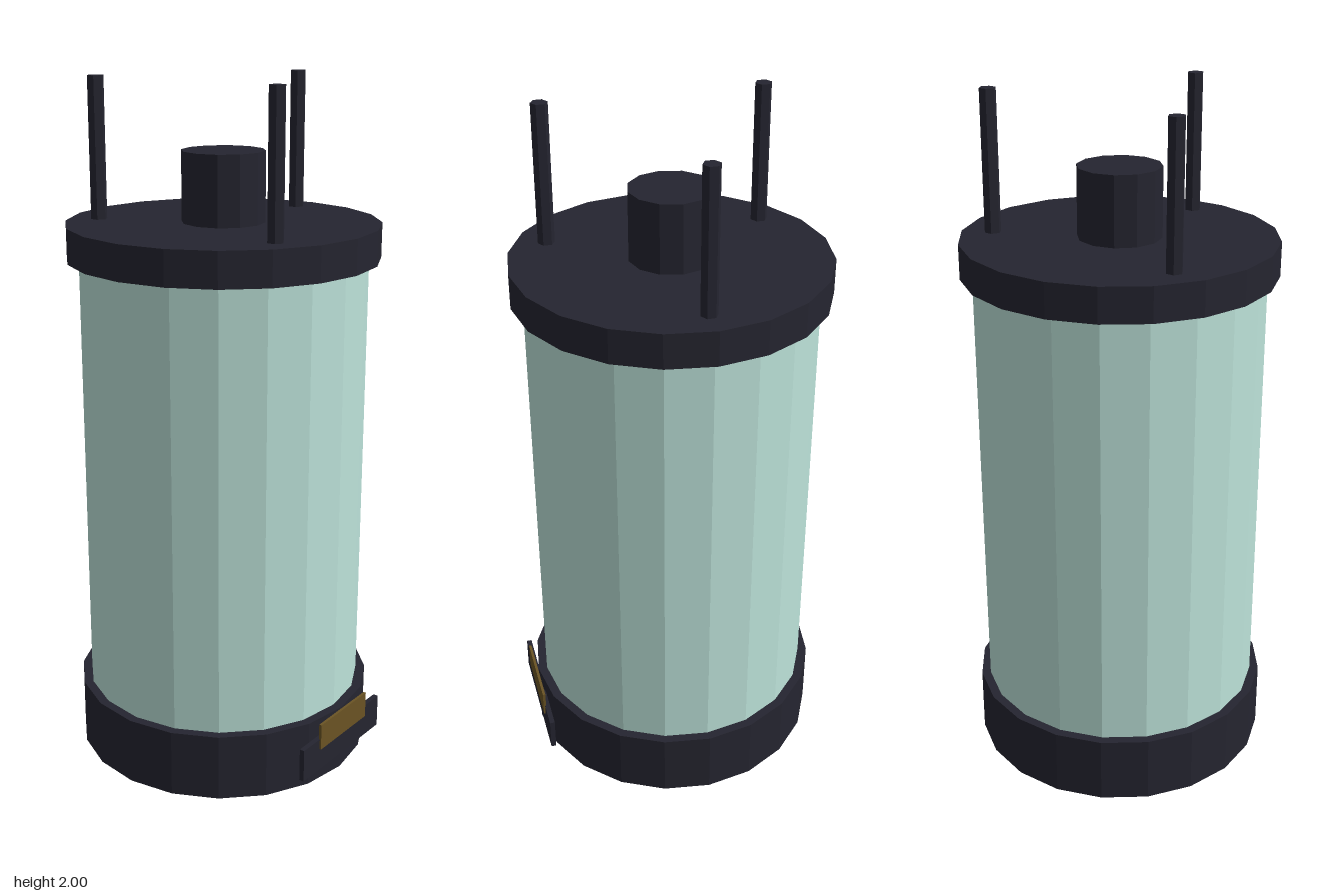
import * as THREE from 'three';

export function createModel() {
  const model = new THREE.Group();
  const makeMaterial = (name, color) => {
    const m = new THREE.MeshStandardMaterial({ color, flatShading: true });
    m.name = name;
    return m;
  };
  const darkMetal = makeMaterial('dark metal', 0x252530);
  const paleGlass = makeMaterial('pale glass', 0xbde3da);
  const brass = makeMaterial('brass', 0x6b5424);

  const add = (name, geometry, material, x, y, z) => {
    const mesh = new THREE.Mesh(geometry, material);
    mesh.name = name;
    mesh.position.set(x, y, z);
    model.add(mesh);
  };
  // upright cylinder spanning y0 to y1
  const post = (name, radius, y0, y1, sides, material, x = 0, z = 0) =>
    add(name, new THREE.CylinderGeometry(radius, radius, y1 - y0, sides), material, x, (y0 + y1) / 2, z - 0.002);

  // canister body
  post('base', 0.443, 0, 0.2, 20, darkMetal);
  post('glassTube', 0.416, 0.2, 1.5, 20, paleGlass);
  post('lid', 0.45, 1.5, 1.6, 20, darkMetal);
  post('cap', 0.12, 1.6, 1.8, 12, darkMetal);

  // three rods spaced evenly around the lid
  for (let i = 0; i < 3; i++) {
    const a = (i * Math.PI * 2) / 3;
    post('rod' + (i + 1), 0.024, 1.6, 2, 6, darkMetal, 0.36 * Math.cos(a), 0.36 * Math.sin(a));
  }

  // front plate with a brass label above it
  add('frontPlate', new THREE.BoxGeometry(0.4, 0.1, 0.015), darkMetal, 0, 0.1, 0.4385);
  add('brassLabel', new THREE.BoxGeometry(0.24, 0.08, 0.008), brass, 0, 0.158, 0.447);

  return model;
}
